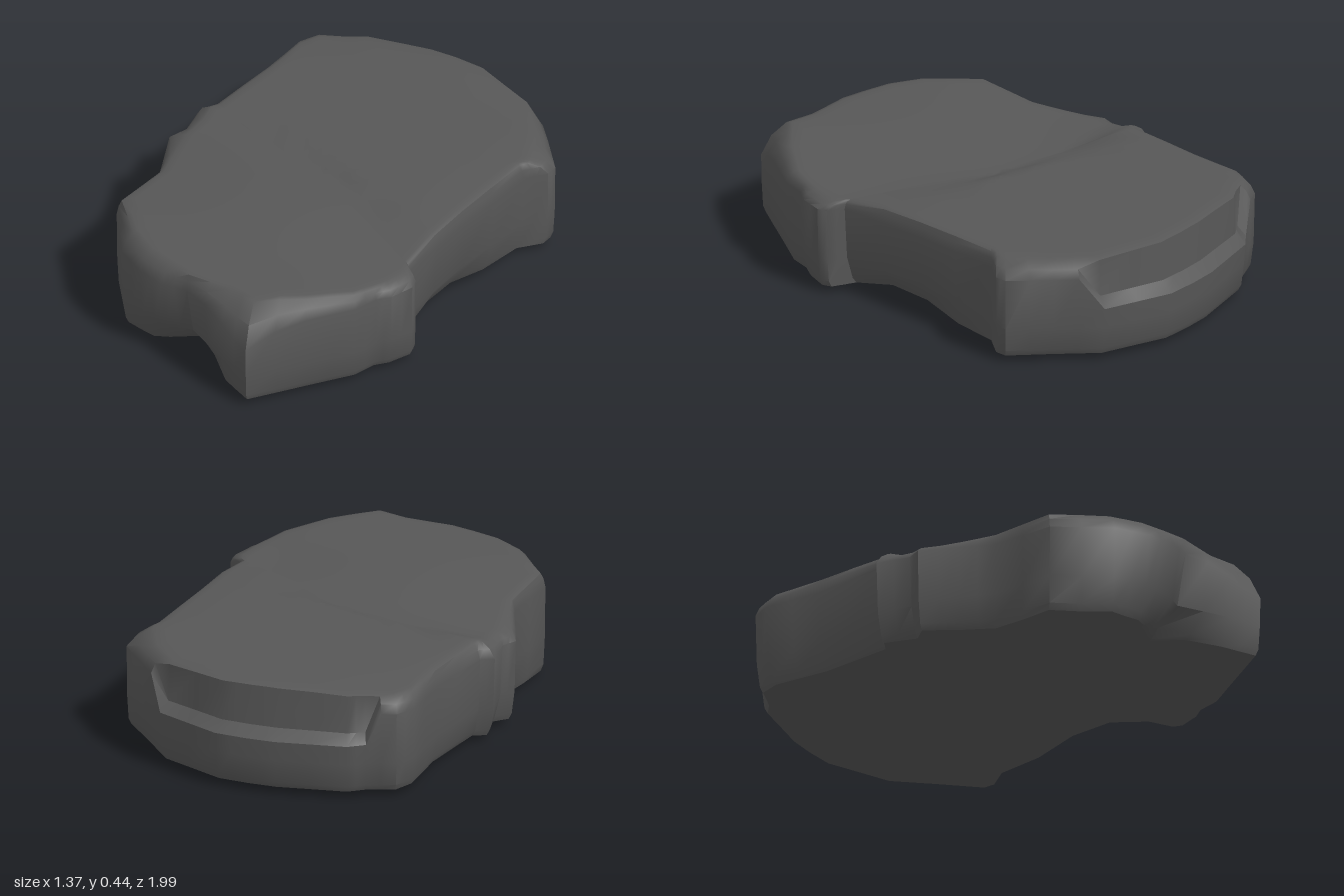
import * as THREE from 'three';
import { toCreasedNormals } from 'three/addons/utils/BufferGeometryUtils.js';

// Rock outline seen from above: x, z, inset of the top rim, inset of the bottom rim
const OUTLINE = [
  [0, -1, .06, .02], [.13, -1, .06, .02], [.41, -.9, .05, .02], [.55, -.76, .05, .02],
  [.68, -.62, .09, .01], [.68, -.57, .08, .01], [.62, -.49, .02, .02], [.6, -.1, .01, .05],
  [.6, .29, .01, .04], [.66, .33, .05, .01], [.67, .37, .05, .01], [.64, .47, .04, .02],
  [.6, .52, .02, .02], [.57, .62, .03, .02], [.45, .79, .05, .02], [.3, .99, .11, .01],
  [.16, .95, .09, .03], [-.05, .88, .01, .16], [-.16, .9, .05, .13], [-.28, .87, .05, .06],
  [-.41, .8, .05, .02], [-.57, .6, .02, .01], [-.56, .33, .01, .02], [-.62, .2, .03, .03],
  [-.69, .05, .06, .02], [-.66, -.01, .03, .04], [-.69, -.15, .06, .03], [-.64, -.18, .03, .03],
  [-.6, -.5, .02, .03], [-.61, -.74, .04, .03], [-.57, -.82, .04, .02], [-.46, -.87, .04, .02],
  [-.4, -.92, .05, .02], [-.12, -.99, .06, .02],
];

const smooth = (a, b, v) => THREE.MathUtils.smoothstep(v, a, b);
const bump = (x, z, cx, cz, rx, rz) => Math.exp(-(((x - cx) / rx) ** 2) - ((z - cz) / rz) ** 2);

// Top face: a raised rear slab with a soft curved step down to the front
function topY(x, z) {
  const d = z + .09 - .25 * x - .3 * x * x;
  return .424 + .012 * (1 - (x / .6) ** 2)
    - .025 * smooth(-.01, .07, d) + .03 * smooth(.1, .85, d)
    + .004 * Math.sin(6 * x + 2) * Math.sin(5 * z);
}

// Underside: a low swelling under one front corner and a shallow hollow at the side
function bottomY(x, z) {
  return Math.max(0, .028 - .034 * bump(x, z, -.36, .5, .28, .32)
    + .06 * bump(x, z, .6, .02, .2, .16) + .03 * bump(x, z, .1, -.15, .25, .3)
    + .04 * bump(x, z, -.05, .82, .12, .14));
}

function rockGeometry() {
  // Halve every outline edge so the surface bends gently
  const rim = OUTLINE.flatMap((p, i) => {
    const q = OUTLINE[(i + 1) % OUTLINE.length];
    return [p, p.map((v, k) => (v + q[k]) / 2)];
  });
  const inset = ([x, z], amount) => {
    const s = 1 - amount / Math.hypot(x, z);
    return [x * s, z * s];
  };
  const rings = [];

  // Underside, centre to rim
  for (const s of [0, .2, .4, .6, .75, .9, .97]) {
    rings.push(rim.map(p => {
      const [x, z] = inset(p, p[3] + .01);
      return [x * s, bottomY(x * s, z * s), z * s];
    }));
  }

  // Side wall, with a ledge at the back and a chamfer round the other edges
  const wall = [[], [], [], [], [], []];
  for (const p of rim) {
    const [x, z, top, low] = p;
    const back = z < -.86;
    const corner = bump(x, z, .28, 1, .14, .12);
    const shoulder = back ? .23 : .36 - .09 * corner;
    const at = (level, amount, y) => {
      const [px, pz] = inset(p, amount);
      wall[level].push([px, y ?? bottomY(px, pz), pz]);
    };
    const [tx, tz] = inset(p, top);
    const topEdge = topY(tx, tz);
    at(0, low + .01);
    at(1, low * .85, bottomY(x, z) + .025);
    at(2, low * .25, .15);
    at(3, 0, shoulder);
    at(4, back ? top * .85 : top * .4, back ? .27 : shoulder + (topEdge - shoulder) * .55);
    at(5, top, topEdge - .006);
  }
  rings.push(...wall);

  // Top face, rim to centre
  const steps = 20;
  for (let k = 0; k <= steps; k++) {
    const s = k === 0 ? .975 : .975 * (1 - k / steps);
    rings.push(rim.map(p => {
      const [x, z] = inset(p, p[2]);
      return [x * s, topY(x * s, z * s), z * s];
    }));
  }

  const n = rim.length, last = rings.length - 1, index = [];
  for (let r = 0; r < last; r++) {
    for (let i = 0; i < n; i++) {
      const a = r * n + i, b = r * n + (i + 1) % n;
      if (r > 0) index.push(a, a + n, b);
      if (r < last - 1) index.push(b, a + n, b + n);
      else if (r === 0) index.push(a, a + n, b + n);
    }
  }
  const g = new THREE.BufferGeometry();
  g.setAttribute('position', new THREE.Float32BufferAttribute(rings.flat(2), 3));
  g.setIndex(index);
  return toCreasedNormals(g, .75);
}

export function createModel() {
  const stone = new THREE.MeshStandardMaterial({ color: 0x575757 });
  stone.name = 'dark grey stone';
  const rock = new THREE.Mesh(rockGeometry(), stone);
  rock.name = 'flatRock';
  const group = new THREE.Group();
  group.name = 'steppingStone';
  group.add(rock);
  return group;
}
